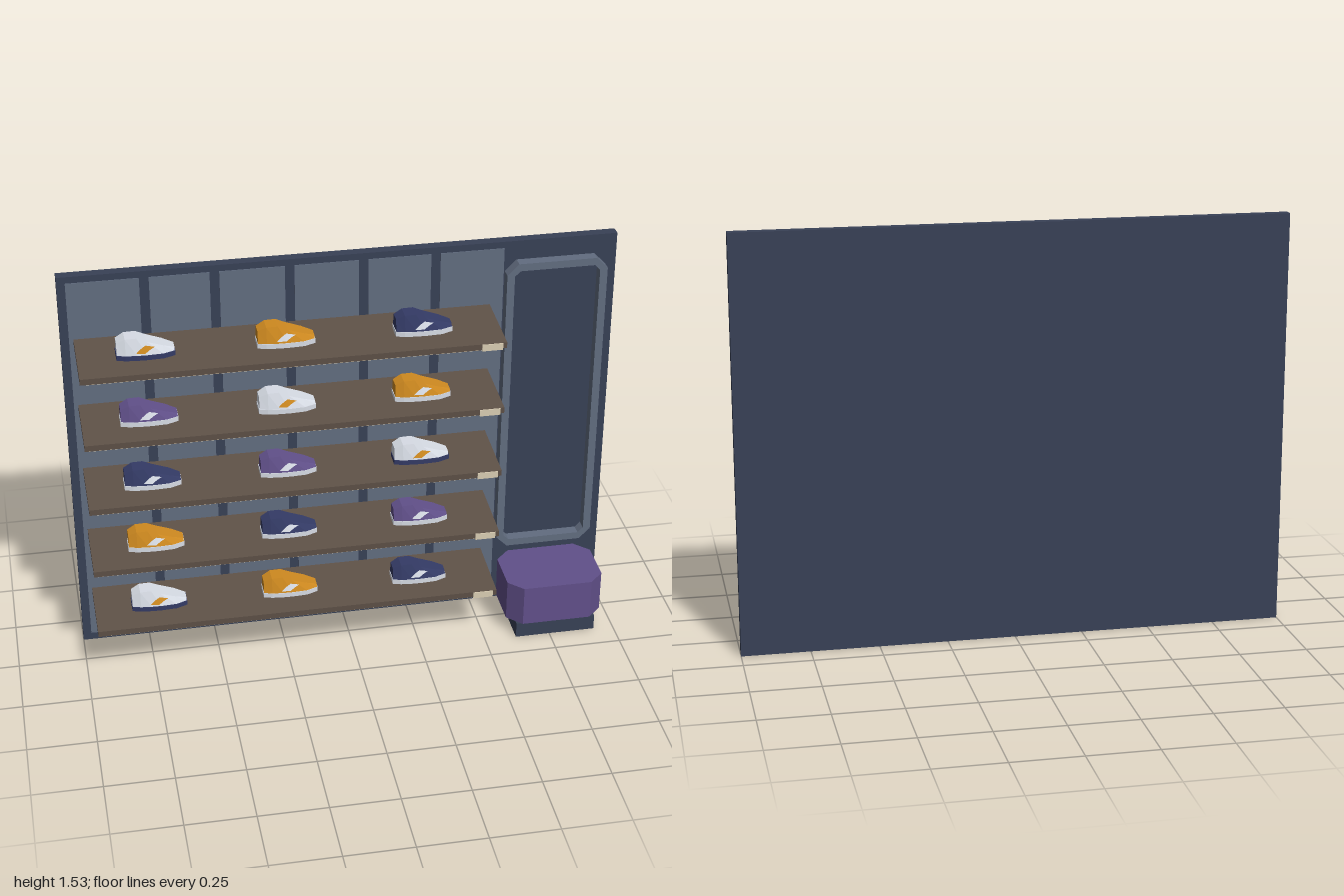
import * as THREE from 'three';

const mat = (name, color, extra = {}) => {
  const m = new THREE.MeshStandardMaterial({ color, ...extra });
  m.name = name;
  return m;
};

// Rectangle with cut corners
function cutRect(PathType, x0, y0, x1, y1, c) {
  const p = new PathType();
  p.moveTo(x0 + c, y0).lineTo(x1 - c, y0).lineTo(x1, y0 + c).lineTo(x1, y1 - c);
  p.lineTo(x1 - c, y1).lineTo(x0 + c, y1).lineTo(x0, y1 - c).lineTo(x0, y0 + c).closePath();
  return p;
}

// Shoe cross-sections, heel to toe: x, top height, half width low, half width high
const SOLE_H = 0.018;
const SECTIONS = [
  [-0.1, 0.062, 0.03, 0.022],
  [-0.07, 0.077, 0.039, 0.029],
  [-0.03, 0.078, 0.043, 0.029],
  [0.005, 0.062, 0.044, 0.03],
  [0.06, 0.043, 0.041, 0.028],
  [0.1, 0.028, 0.025, 0.018],
];

// Faceted loft through four-sided sections
function shoeUpperGeometry() {
  const pos = [], idx = [];
  for (const [x, top, lo, hi] of SECTIONS) {
    pos.push(x, SOLE_H, lo, x, top, hi, x, top, -hi, x, SOLE_H, -lo);
  }
  const n = SECTIONS.length;
  for (let s = 0; s < n - 1; s++) {
    for (let k = 0; k < 4; k++) {
      const a = s * 4 + k, b = s * 4 + (k + 1) % 4;
      idx.push(a, a + 4, b, b, a + 4, b + 4);
    }
  }
  const e = (n - 1) * 4;
  idx.push(0, 1, 2, 0, 2, 3, e, e + 2, e + 1, e, e + 3, e + 2);
  const g = new THREE.BufferGeometry();
  g.setAttribute('position', new THREE.Float32BufferAttribute(pos, 3));
  g.setIndex(idx);
  const flat = g.toNonIndexed();
  flat.computeVertexNormals();
  return flat;
}

// Point on the shoe flank at length x and height fraction t
function flank(x, t) {
  let i = 0;
  while (i < SECTIONS.length - 2 && x > SECTIONS[i + 1][0]) i++;
  const a = SECTIONS[i], b = SECTIONS[i + 1];
  const f = (x - a[0]) / (b[0] - a[0]);
  const [, top, lo, hi] = a.map((v, k) => v + (b[k] - v) * f);
  return [SOLE_H + (top - SOLE_H) * t, lo + (hi - lo) * t];
}

// Slanted stripe that follows the flank
function stripeGeometry(side) {
  const g = new THREE.PlaneGeometry(1, 1, 6, 4);
  const p = g.attributes.position;
  for (let i = 0; i < p.count; i++) {
    const u = p.getX(i) + 0.5, v = p.getY(i) + 0.5;
    const x = side * (0) - 0.035 + u * 0.032 + v * 0.035;
    const t = 0.12 + v * 0.6;
    const [y, z] = flank(x, t);
    p.setXYZ(i, x, y + 0.0005, side * (z + 0.002));
  }
  if (side < 0) {
    const a = g.index.array;
    for (let i = 0; i < a.length; i += 3) [a[i], a[i + 1]] = [a[i + 1], a[i]];
  }
  g.computeVertexNormals();
  return g;
}

function soleGeometry() {
  const s = new THREE.Shape();
  const wide = 1.05;
  SECTIONS.forEach(([x, , lo], i) => (i ? s.lineTo(x * 1.02, lo * wide) : s.moveTo(x * 1.02, lo * wide)));
  [...SECTIONS].reverse().forEach(([x, , lo]) => s.lineTo(x * 1.02, -lo * wide));
  s.closePath();
  return new THREE.ExtrudeGeometry(s, { depth: SOLE_H, bevelEnabled: false }).rotateX(-Math.PI / 2);
}

export function createModel() {
  const root = new THREE.Group();
  root.name = 'shoeDisplayWall';

  const wallMat = mat('dark slate', 0x384156);
  const panelMat = mat('grey slate', 0x626d80);
  const woodMat = mat('brown wood', 0x5f5248);
  const creamMat = mat('cream', 0xe0d3b8);
  const purple = mat('purple', 0x61508a);
  const white = mat('white', 0xd8dde6, { side: THREE.DoubleSide });
  const orange = mat('orange', 0xcf8a20, { side: THREE.DoubleSide });
  const navy = mat('navy', 0x343b66);

  const add = (parent, name, geo, m, x = 0, y = 0, z = 0) => {
    const mesh = new THREE.Mesh(geo, m);
    mesh.name = name;
    mesh.position.set(x, y, z);
    parent.add(mesh);
    return mesh;
  };
  const box = (w, h, d) => new THREE.BoxGeometry(w, h, d);

  // Back wall with thin panels divided by dark gaps
  add(root, 'backWall', box(2, 1.53, 0.038), wallMat, 0, 0.765, -0.142);
  const gaps = [-0.698, -0.452, -0.187, 0.077, 0.337];
  const edges = [-0.987, ...gaps, 0.603];
  for (let i = 0; i < edges.length - 1; i++) {
    const x0 = edges[i] + 0.017, x1 = edges[i + 1] - 0.017;
    add(root, 'wallPanel', box(x1 - x0, 1.475, 0.003), panelMat, (x0 + x1) / 2, 0.768, -0.1215);
  }

  // Tall frame with an open centre
  const frame = cutRect(THREE.Shape, 0.59, 0.26, 0.96, 1.457, 0.042);
  frame.holes.push(cutRect(THREE.Path, 0.618, 0.288, 0.932, 1.429, 0.02));
  add(root, 'mirrorFrame', new THREE.ExtrudeGeometry(frame, { depth: 0.041, bevelEnabled: false }),
    panelMat, 0, 0, -0.123);

  // Stool
  const seat = new THREE.ExtrudeGeometry(cutRect(THREE.Shape, 0.59, -0.16, 0.957, 0.107, 0.053),
    { depth: 0.16, bevelEnabled: false }).rotateX(-Math.PI / 2);
  add(root, 'stoolSeat', seat, purple, 0, 0.06, 0);
  add(root, 'stoolBase', box(0.305, 0.06, 0.257), wallMat, 0.772, 0.03, 0.027);

  // Shoes share their geometry
  const upperGeo = shoeUpperGeometry(), soleGeo = soleGeometry();
  const stripes = [stripeGeometry(1), stripeGeometry(-1)];
  const colours = [white, orange, navy, purple];
  const makeShoe = (upper, sole) => {
    const shoe = new THREE.Group();
    shoe.name = 'shoe';
    add(shoe, 'shoeUpper', upperGeo, upper);
    add(shoe, 'shoeSole', soleGeo, sole);
    stripes.forEach((g) => add(shoe, 'shoeStripe', g, upper === white ? orange : white));
    return shoe;
  };

  // Five tilted shelves, each with light strip, price tag and three shoes
  for (let row = 0; row < 5; row++) {
    const y = 1.287 - row * 0.2625;
    const shelf = new THREE.Group();
    shelf.name = 'shelf';
    shelf.position.set(-0.21, y, 0.025);
    shelf.rotation.x = 0.06;
    root.add(shelf);
    add(shelf, 'shelfBoard', box(1.49, 0.023, 0.265), woodMat, 0, -0.0115, 0);
    add(shelf, 'lightStrip', box(1.46, 0.004, 0.008), creamMat, 0, -0.025, 0.124);
    add(shelf, 'priceTag', box(0.075, 0.026, 0.004), creamMat, 0.693, -0.014, 0.1335);

    for (let col = 0; col < 3; col++) {
      const upper = colours[(col - row + 8) % 4];
      const sole = upper === white && row !== 1 ? navy : white;
      const shoe = makeShoe(upper, sole);
      shoe.position.set(-0.718 + col * 0.489, y - 0.001, 0.026);
      root.add(shoe);
    }
  }
  return root;
}
